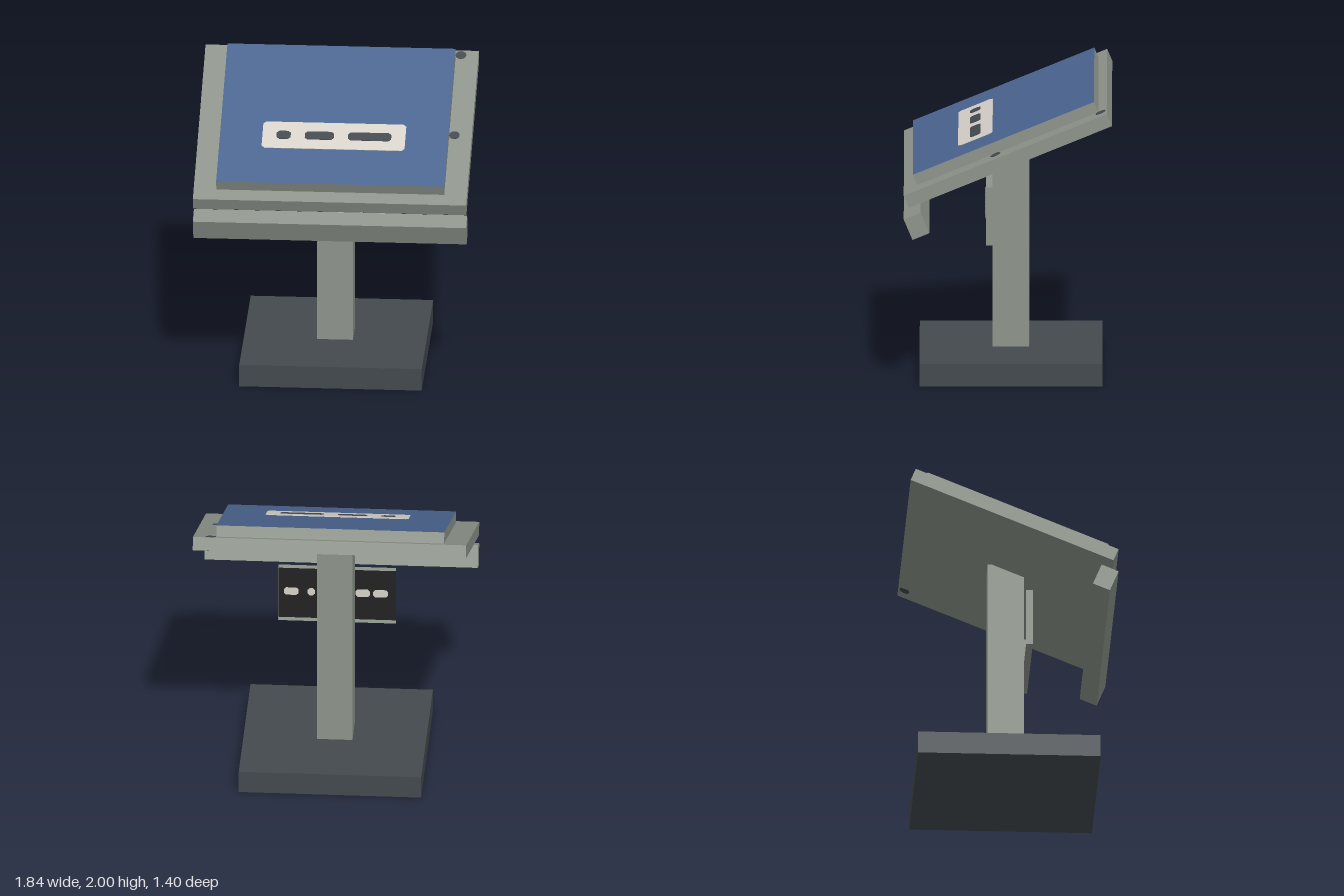
import * as THREE from 'three';

const material = (name, color, side = THREE.FrontSide) => {
  const m = new THREE.MeshStandardMaterial({ color, side });
  m.name = name;
  return m;
};

export function createModel() {
  const grey = material('sage grey', 0x8d948b, THREE.DoubleSide);
  const blue = material('slate blue', 0x4a6590);
  const dark = material('charcoal', 0x43494e);
  const black = material('black', 0x222222, THREE.DoubleSide);
  const cream = material('pale cream', 0xd6d2ca);

  const model = new THREE.Group();
  model.name = 'lectern';

  const add = (parent, name, geometry, mat, x, y, z) => {
    const mesh = new THREE.Mesh(geometry, mat);
    mesh.name = name;
    mesh.position.set(x, y, z);
    parent.add(mesh);
    return mesh;
  };
  const box = (parent, name, mat, [w, h, d], [x, y, z]) =>
    add(parent, name, new THREE.BoxGeometry(w, h, d), mat, x, y, z);

  // Thin plate with cut corners, lying flat and facing up
  const plate = (parent, name, mat, w, d, cut, thick, [x, y, z]) => {
    const a = w / 2, b = d / 2;
    const shape = new THREE.Shape([
      [-a + cut, -b], [a - cut, -b], [a, -b + cut], [a, b - cut],
      [a - cut, b], [-a + cut, b], [-a, b - cut], [-a, -b + cut],
    ].map(([px, py]) => new THREE.Vector2(px, py)));
    const g = new THREE.ExtrudeGeometry(shape, { depth: thick, bevelEnabled: false });
    g.rotateX(-Math.PI / 2);
    return add(parent, name, g, mat, x, y, z);
  };

  // Base and post
  box(model, 'base', dark, [1.225, 0.155, 1.225], [0, 0.0775, -0.018]);
  box(model, 'post', grey, [0.24, 1.475, 0.245], [0, 0.8925, -0.0175]);

  // Sloping top: everything in this group shares the same tilt
  const tilt = Math.PI / 8;
  const top = new THREE.Group();
  top.name = 'slopingTop';
  top.position.set(0, 1.631, 0.0025);
  top.rotation.x = tilt;
  model.add(top);
  box(top, 'backingBoard', grey, [1.835, 0.09, 1.473], [0, 0, 0]);
  box(top, 'readingPanel', [grey, grey, blue, grey, grey, grey],
    [1.53, 0.076, 1.314], [0, 0.083, -0.018]);

  // Label with three dark marks
  const labelY = 0.121;
  plate(top, 'label', cream, 0.96, 0.249, 0.02, 0.003, [0, labelY, 0.185]);
  for (const [x0, x1] of [[-0.385, -0.29], [-0.195, 0], [0.095, 0.385]]) {
    plate(top, 'labelMark', dark, x1 - x0, 0.076, 0.018, 0.003,
      [(x0 + x1) / 2, labelY + 0.002, 0.185]);
  }

  // Pins passing through the backing board
  for (const z of [-0.692, 0.071]) {
    add(top, 'pin', new THREE.CylinderGeometry(0.036, 0.036, 0.096, 12), dark, 0.8, 0, z);
  }

  // Front rail, tilted to match the top
  box(model, 'frontRail', grey, [1.835, 0.153, 0.123], [0, 1.18, 0.614]).rotation.x = tilt;

  // Shallow sign tray, open at the back
  const sign = new THREE.Group();
  sign.name = 'signTray';
  sign.position.set(0, 1.12, 0.105);
  model.add(sign);
  const w = 0.79, h = 0.4, d = 0.045;
  add(sign, 'signFace', new THREE.PlaneGeometry(w, h), black, 0, 0, d);
  for (const s of [-1, 1]) {
    add(sign, 'signSide', new THREE.PlaneGeometry(d, h), grey, s * w / 2, 0, d / 2)
      .rotation.y = s * Math.PI / 2;
    add(sign, 'signEdge', new THREE.PlaneGeometry(w, d), grey, 0, s * h / 2, d / 2)
      .rotation.x = -s * Math.PI / 2;
  }
  // Marks showing on both sides of the sign face
  for (const [x0, x1] of [[-0.34, -0.24], [-0.22, -0.12], [-0.06, 0.09], [0.15, 0.2], [0.26, 0.36]]) {
    plate(sign, 'signMark', cream, x1 - x0, 0.055, 0.015, 0.006,
      [(x0 + x1) / 2, 0, d + 0.003]).rotation.x = Math.PI / 2;
    sign.children.at(-1).position.z = d - 0.003;
  }

  return model;
}
